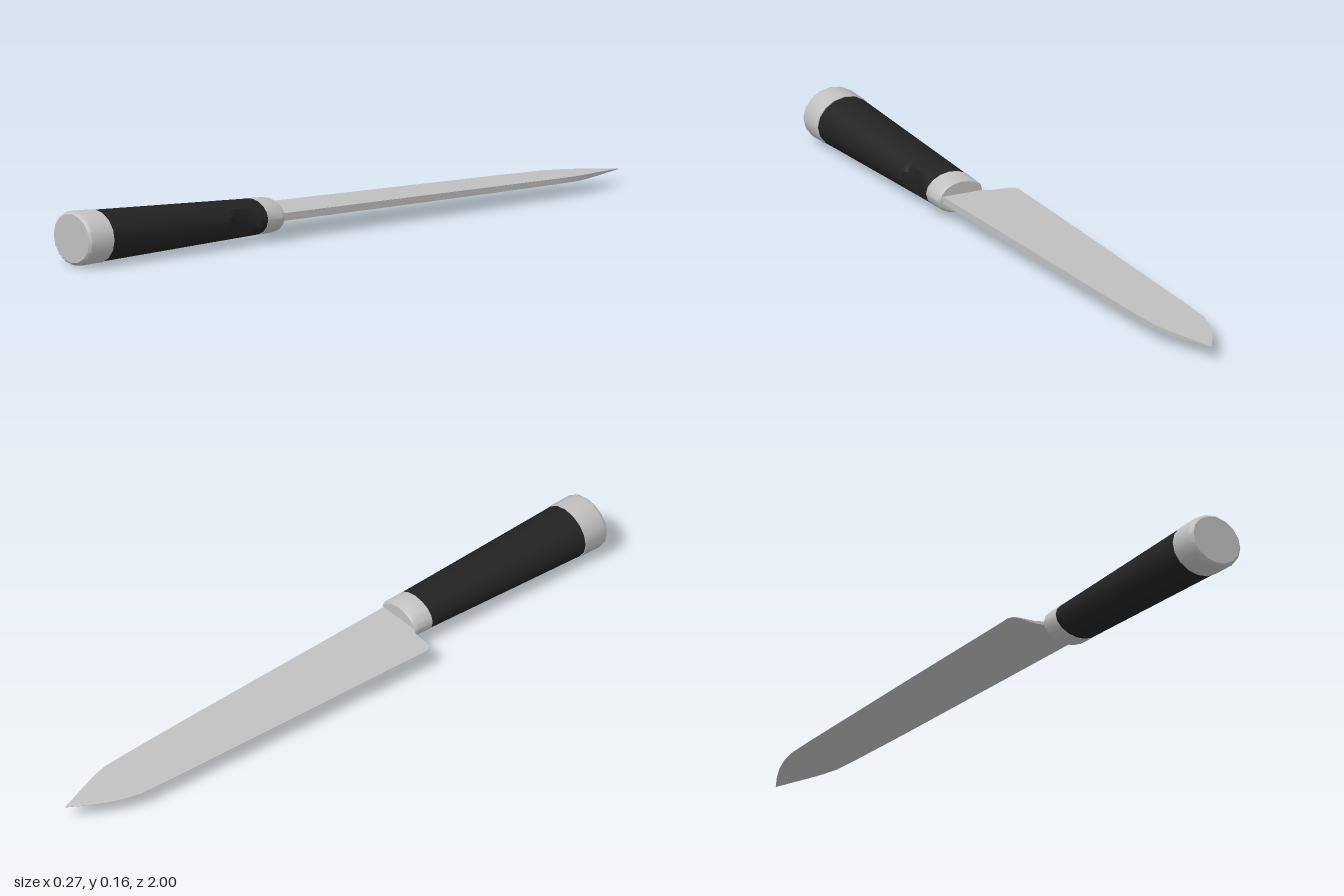
import * as THREE from 'three';
import { toCreasedNormals } from 'three/addons/utils/BufferGeometryUtils.js';

// Skin over closed rings ordered by rising z, each counter-clockwise seen from +z
function loft(rings, crease = 0.6) {
  const n = rings[0].length, last = (rings.length - 1) * n, index = [];
  for (let i = 0; i < rings.length - 1; i++) {
    for (let j = 0; j < n; j++) {
      const a = i * n + j, b = i * n + (j + 1) % n;
      index.push(a, b, b + n, a, b + n, a + n);
    }
  }
  for (let j = 1; j < n - 1; j++) {
    index.push(0, j + 1, j, last, last + j, last + j + 1);
  }
  const geometry = new THREE.BufferGeometry();
  geometry.setAttribute('position', new THREE.Float32BufferAttribute(rings.flat(2), 3));
  geometry.setIndex(index);
  return toCreasedNormals(geometry, crease);
}

// Oval handle section, widening towards the butt; limit flattens the +x side
function oval(z, scale = 1, limit = Infinity) {
  const t = (z - 0.3) / 0.7, lerp = THREE.MathUtils.lerp;
  const cx = lerp(0.034, 0.041, t), cy = lerp(0.069, 0.081, t);
  const rx = lerp(0.074, 0.09, t) * scale, ry = lerp(0.049, 0.078, t) * scale;
  return Array.from({ length: 16 }, (_, j) => {
    const a = j * Math.PI / 8;
    return [Math.min(cx + rx * Math.cos(a), limit), cy + ry * Math.sin(a), z];
  });
}

export function createModel() {
  const steel = new THREE.MeshStandardMaterial({ name: 'steel', color: 0xc0c0c0 });
  const rubber = new THREE.MeshStandardMaterial({ name: 'blackRubber', color: 0x222222 });
  const model = new THREE.Group();
  model.name = 'kitchenKnife';
  const add = (name, rings, material, crease) => {
    const mesh = new THREE.Mesh(loft(rings, crease), material);
    mesh.name = name;
    model.add(mesh);
  };

  // Blade: z, cutting edge x, spine x, half thickness at spine, half thickness at edge
  const stations = [
    [-1, -0.021, -0.019, 0.001, 0.0005],
    [-0.95, -0.054, -0.002, 0.003, 0.0005],
    [-0.9, -0.082, 0.016, 0.005, 0.0005],
    [-0.85, -0.102, 0.033, 0.0065, 0.0005],
    [-0.8, -0.114, 0.046, 0.0075, 0.0005],
    [-0.7, -0.118, 0.053, 0.008, 0.0005],
    [-0.5, -0.122, 0.063, 0.009, 0.0005],
    [-0.2, -0.128, 0.075, 0.01, 0.0005],
    [0.22, -0.134, 0.092, 0.011, 0.0005],
    [0.25, -0.135, 0.093, 0.011, 0.0005],
    [0.266, -0.128, 0.094, 0.011, 0.0008],
    [0.271, -0.11, 0.094, 0.011, 0.0015],
    [0.275, -0.055, 0.094, 0.011, 0.004],
    [0.285, -0.035, 0.095, 0.011, 0.005],
    [0.31, -0.03, 0.095, 0.011, 0.005],
  ];
  add('blade', stations.map(([z, edge, spine, h, e]) => {
    const y = 0.045 + (z + 1) * 0.0188;
    return [[spine, y - h, z], [spine, y + h, z], [edge, y + e, z], [edge, y - e, z]];
  }), steel, 0.4);

  // Collar with a rounded front lip
  add('collar', [[0.285, 0.92], [0.291, 0.99], [0.298, 1.02], [0.35, 1.02]]
    .map(([z, s]) => oval(z, s)), steel);

  // Grip with a finger notch on the spine side
  const grip = [oval(0.348)];
  for (let i = 0; i <= 12; i++) {
    const u = i / 6 - 1;
    grip.push(oval(0.425 + u * 0.06, 1, 0.092 + 0.02 * u * u));
  }
  grip.push(oval(0.5), oval(0.918));
  add('grip', grip, rubber);

  // Butt cap with a rounded rim
  add('buttCap', [[0.915, 1.025], [0.985, 1.015], [0.994, 0.98], [1, 0.9]]
    .map(([z, s]) => oval(z, s)), steel);

  return model;
}
